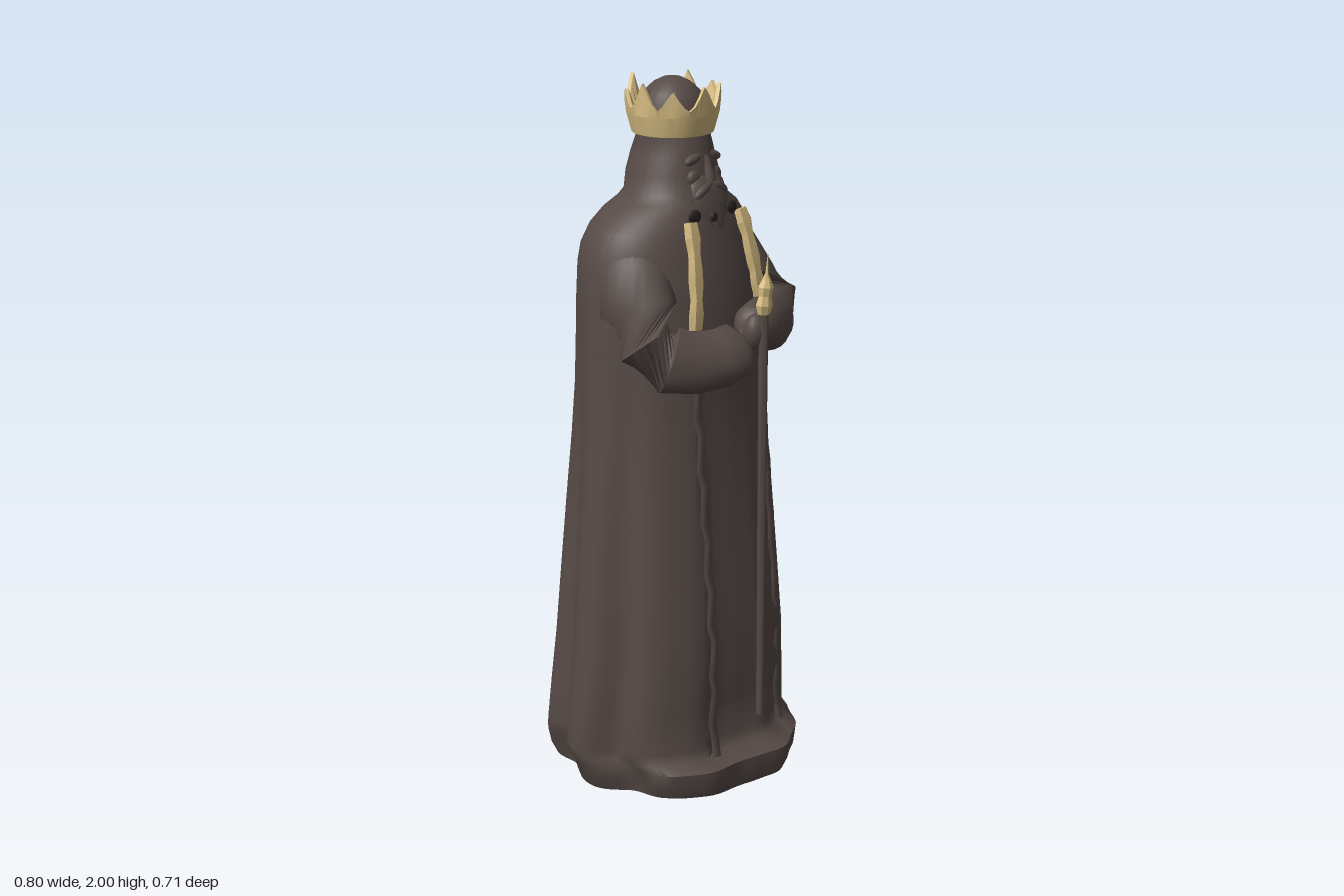
import * as THREE from 'three';
import { toCreasedNormals } from 'three/addons/utils/BufferGeometryUtils.js';

const robeMat = new THREE.MeshStandardMaterial({ color: 0x564a46 });
robeMat.name = 'dark brown';
const goldMat = new THREE.MeshStandardMaterial({ color: 0xdac084, side: THREE.DoubleSide });
goldMat.name = 'gold';
const shadeMat = new THREE.MeshStandardMaterial({ color: 0x2a2422 });
shadeMat.name = 'deep brown';

// Skin a list of closed rings (counter-clockwise about the direction of travel)
function loft(rings, crease = 0.9) {
  const n = rings[0].length, pos = [], idx = [];
  rings.forEach(r => r.forEach(p => pos.push(p.x, p.y, p.z)));
  for (let i = 0; i < rings.length - 1; i++) {
    for (let j = 0; j < n; j++) {
      const k = (j + 1) % n, a = i * n + j, b = i * n + k, c = a + n, d = b + n;
      idx.push(a, b, d, a, d, c);
    }
  }
  const g = new THREE.BufferGeometry();
  g.setAttribute('position', new THREE.Float32BufferAttribute(pos, 3));
  g.setIndex(idx);
  return toCreasedNormals(g, crease);
}

// Elliptical tube along [x, y, z, radius along up, radius across]; ends closed
function limb(stations, up, sides = 16, crease = 0.9) {
  const pts = stations.map(s => new THREE.Vector3(s[0], s[1], s[2]));
  const rings = stations.map((s, i) => {
    const d = pts[Math.min(i + 1, pts.length - 1)].clone().sub(pts[Math.max(i - 1, 0)]).normalize();
    const u = up.clone().addScaledVector(d, -up.dot(d)).normalize();
    const v = d.clone().cross(u);
    return Array.from({ length: sides }, (_, j) => {
      const t = (j / sides) * Math.PI * 2;
      return pts[i].clone().addScaledVector(u, Math.cos(t) * s[3]).addScaledVector(v, Math.sin(t) * s[4]);
    });
  });
  const cap = p => Array.from({ length: sides }, () => p.clone());
  return loft([cap(pts[0]), ...rings, cap(pts[pts.length - 1])], crease);
}

// Robe and head sections: [y, half width, front z, back z, fold strength]
const rows = [
  [0, 0, 0, 0, 0], [0, 0.348, 0.34, -0.335, 0.8], [0.03, 0.366, 0.35, -0.345, 1],
  [0.08, 0.385, 0.35, -0.345, 1], [0.1, 0.396, 0.295, -0.328, 1], [0.13, 0.4, 0.28, -0.32, 1],
  [0.25, 0.387, 0.283, -0.312, 0.9], [0.4, 0.37, 0.286, -0.3, 0.8], [0.6, 0.352, 0.272, -0.285, 0.7],
  [0.8, 0.335, 0.256, -0.268, 0.6], [1, 0.315, 0.241, -0.252, 0.45], [1.15, 0.302, 0.23, -0.243, 0.3],
  [1.28, 0.298, 0.222, -0.238, 0.2], [1.4, 0.293, 0.212, -0.235, 0.1], [1.5, 0.284, 0.193, -0.23, 0],
  [1.55, 0.273, 0.18, -0.222, 0], [1.6, 0.25, 0.168, -0.2, 0], [1.64, 0.215, 0.155, -0.17, 0],
  [1.67, 0.165, 0.145, -0.14, 0], [1.69, 0.138, 0.14, -0.13, 0], [1.74, 0.126, 0.13, -0.128, 0],
  [1.79, 0.108, 0.122, -0.118, 0], [1.84, 0.092, 0.112, -0.102, 0], [1.87, 0.098, 0.1, -0.1, 0],
  [1.92, 0.095, 0.095, -0.095, 0], [1.955, 0.077, 0.077, -0.077, 0], [1.98, 0.05, 0.05, -0.05, 0],
  [1.992, 0.025, 0.025, -0.025, 0], [1.995, 0, 0, 0, 0],
];

// Wavy hem seen from above, as [x, z]
const hem = [[0, 0.34], [0.1, 0.355], [0.2, 0.305], [0.315, 0.195], [0.335, 0.1], [0.4, 0.01], [0.36, -0.1],
  [0.315, -0.25], [0.2, -0.288], [0.08, -0.33], [-0.07, -0.358], [-0.17, -0.275], [-0.275, -0.255],
  [-0.31, -0.13], [-0.4, 0], [-0.325, 0.1], [-0.312, 0.195], [-0.21, 0.297], [-0.1, 0.315]]
  .map(([x, z]) => [(Math.atan2(x / 0.4, z / 0.35) + Math.PI * 2) % (Math.PI * 2), Math.hypot(x / 0.4, z / 0.35)]);

function hemRadius(t) {
  let i = hem.findIndex(h => h[0] > t);
  if (i < 0) i = 0;
  const a = hem[(i + hem.length - 1) % hem.length], b = hem[i];
  const full = Math.PI * 2, span = (b[0] - a[0] + full) % full, k = ((t - a[0] + full) % full) / span;
  return a[1] + (b[1] - a[1]) * k * k * (3 - 2 * k);
}

function bodyGeometry() {
  const n = 112;
  return loft(rows.map(([y, w, zf, zb, f]) => Array.from({ length: n }, (_, j) => {
    const t = (j / n) * Math.PI * 2;
    const r = 1 + f * (hemRadius(t) - 1 + 0.01 * Math.sin(t * 13));
    const x = Math.sin(t) * w * r;
    let z = (zf + zb) / 2 + Math.cos(t) * ((zf - zb) / 2) * r;
    // Inner gown sits behind the open edges of the cloak
    if (y > 0.09 && y < 1.2 && z > 0 && x > -0.125 && x < 0.175) z -= 0.01;
    return new THREE.Vector3(x, y, z);
  })), 1);
}

// Front surface depth of the body at x, y
function frontZ(x, y) {
  let i = 2;
  while (rows[i + 1][0] < y) i++;
  const a = rows[i], b = rows[i + 1], k = (y - a[0]) / (b[0] - a[0]);
  const [w, f, r] = [1, 2, 3].map(c => a[c] + (b[c] - a[c]) * k);
  return (f + r) / 2 + ((f - r) / 2) * Math.sqrt(Math.max(0, 1 - (x / w) ** 2));
}

// Crown wall with an uneven zigzag rim; each station is a wall cross-section
function crownGeometry() {
  const points = 9, n = points * 6, rings = [];
  for (let i = 0; i <= n; i++) {
    const t = (i / n) * Math.PI * 2;
    const s = Math.max(0, 1 - Math.abs((i % 6) - 3) / 2.6);
    const tip = 1.918 + (0.06 + 0.015 * Math.cos(t * 4)) * s;
    const at = (r, y) => new THREE.Vector3(Math.sin(t) * r + 0.004, y, Math.cos(t) * r);
    rings.push([at(0.098, 1.85), at(0.112, 1.846), at(0.127, 1.9), at(0.131, tip), at(0.121, tip), at(0.1, 1.895)]);
  }
  return loft(rings, 0.2);
}

export function createModel() {
  const model = new THREE.Group();
  const X = new THREE.Vector3(1, 0, 0), bend = new THREE.Vector3(0, 1, -1).normalize();
  const add = (name, geo, mat, x = 0, y = 0, z = 0) => {
    const m = new THREE.Mesh(geo, mat);
    m.name = name;
    m.position.set(x, y, z);
    model.add(m);
    return m;
  };
  const blob = (name, mat, x, y, z, rx, ry, rz, tilt = 0) => {
    const m = add(name, new THREE.SphereGeometry(1, 16, 10), mat, x, y, z);
    m.scale.set(rx, ry, rz);
    m.rotation.z = tilt;
  };

  add('robeAndHead', bodyGeometry(), robeMat);

  // Sleeves hang from the shoulders, bend at the elbow and meet in front
  add('rightSleeve', limb([[-0.18, 1.58, 0.01, 0.06, 0.05], [-0.21, 1.5, 0.035, 0.1, 0.07],
    [-0.228, 1.4, 0.07, 0.12, 0.073], [-0.232, 1.31, 0.105, 0.125, 0.08], [-0.2, 1.275, 0.16, 0.1, 0.08],
    [-0.14, 1.262, 0.2, 0.092, 0.07], [-0.07, 1.265, 0.23, 0.086, 0.062], [-0.02, 1.28, 0.25, 0.08, 0.052],
    [0, 1.285, 0.255, 0.05, 0.035]], bend, 24), robeMat);
  add('leftSleeve', limb([[0.18, 1.58, 0.01, 0.06, 0.05], [0.21, 1.5, 0.035, 0.1, 0.07],
    [0.232, 1.41, 0.07, 0.12, 0.073], [0.24, 1.33, 0.105, 0.125, 0.08], [0.21, 1.3, 0.16, 0.095, 0.08],
    [0.15, 1.31, 0.205, 0.083, 0.07], [0.08, 1.325, 0.24, 0.068, 0.062], [0.03, 1.335, 0.262, 0.058, 0.05],
    [0.01, 1.34, 0.27, 0.035, 0.035]], bend, 24), robeMat);
  blob('hand', robeMat, 0.01, 1.33, 0.288, 0.035, 0.05, 0.032);

  // Cloak edges down the front
  for (const [name, x0, x1] of [['rightCloakEdge', -0.125, -0.13], ['leftCloakEdge', 0.19, 0.16]]) {
    const path = Array.from({ length: 23 }, (_, i) => {
      const y = 0.1 + i * 0.05, x = x0 + (x1 - x0) * (i / 22) + 0.006 * Math.sin(i * 2.1);
      return [x, y, frontZ(x, y) - 0.004, 0.016, 0.007];
    });
    add(name, limb(path, X, 8), robeMat);
  }

  // Gold stole ends on the chest
  for (const [name, xa, xb, low] of [['rightStole', -0.1, -0.137, 1.35], ['leftStole', 0.118, 0.145, 1.39]]) {
    const path = Array.from({ length: 8 }, (_, i) => {
      const k = i / 7, y = low + (1.63 - low) * k, x = xb + (xa - xb) * k;
      return [x, y, frontZ(x, y) + 0.01, 0.028 + 0.004 * Math.sin(i * 2.3), 0.013];
    });
    add(name, limb(path, X, 6, 0.2), goldMat);
  }

  // Face, moustache and beard
  add('beard', limb([[0, 1.6, 0.168, 0.015, 0.008], [0, 1.64, 0.15, 0.05, 0.018],
    [0, 1.68, 0.136, 0.07, 0.022], [0, 1.72, 0.122, 0.065, 0.022], [0, 1.75, 0.112, 0.04, 0.01]], X, 12), robeMat);
  add('nose', limb([[0, 1.725, 0.134, 0.018, 0.018], [0, 1.745, 0.132, 0.016, 0.014],
    [0, 1.795, 0.118, 0.008, 0.008]], X, 8), robeMat);
  for (const s of [-1, 1]) {
    blob('brow', robeMat, s * 0.038, 1.788, 0.108, 0.036, 0.014, 0.014, -s * 0.25);
    blob('cheek', robeMat, s * 0.042, 1.735, 0.112, 0.026, 0.026, 0.016);
    blob('moustache', robeMat, s * 0.034, 1.705, 0.138, 0.038, 0.015, 0.014, -s * 0.5);
    blob('collarHollow', shadeMat, s * 0.075, 1.64, frontZ(0.075, 1.64), 0.026, 0.02, 0.009, s * 0.3);
  }
  blob('beardHollow', shadeMat, -0.02, 1.635, 0.165, 0.014, 0.014, 0.008);

  // Staff with gold finial
  add('staff', limb([[0.01, 0.2, 0.322, 0.012, 0.012], [0.01, 0.8, 0.318, 0.012, 0.012],
    [0.012, 1.4, 0.314, 0.014, 0.014]], X, 10), robeMat);
  add('staffFinial', limb([[0.012, 1.385, 0.315, 0.02, 0.016], [0.012, 1.41, 0.316, 0.027, 0.021],
    [0.014, 1.435, 0.317, 0.02, 0.016], [0.016, 1.46, 0.318, 0.024, 0.02], [0.016, 1.48, 0.32, 0.012, 0.012],
    [0.014, 1.5, 0.322, 0.004, 0.004], [0.014, 1.55, 0.325, 0.001, 0.001]], X, 7, 0.2), goldMat);

  add('crown', crownGeometry(), goldMat).rotation.y = 0.2;
  return model;
}
